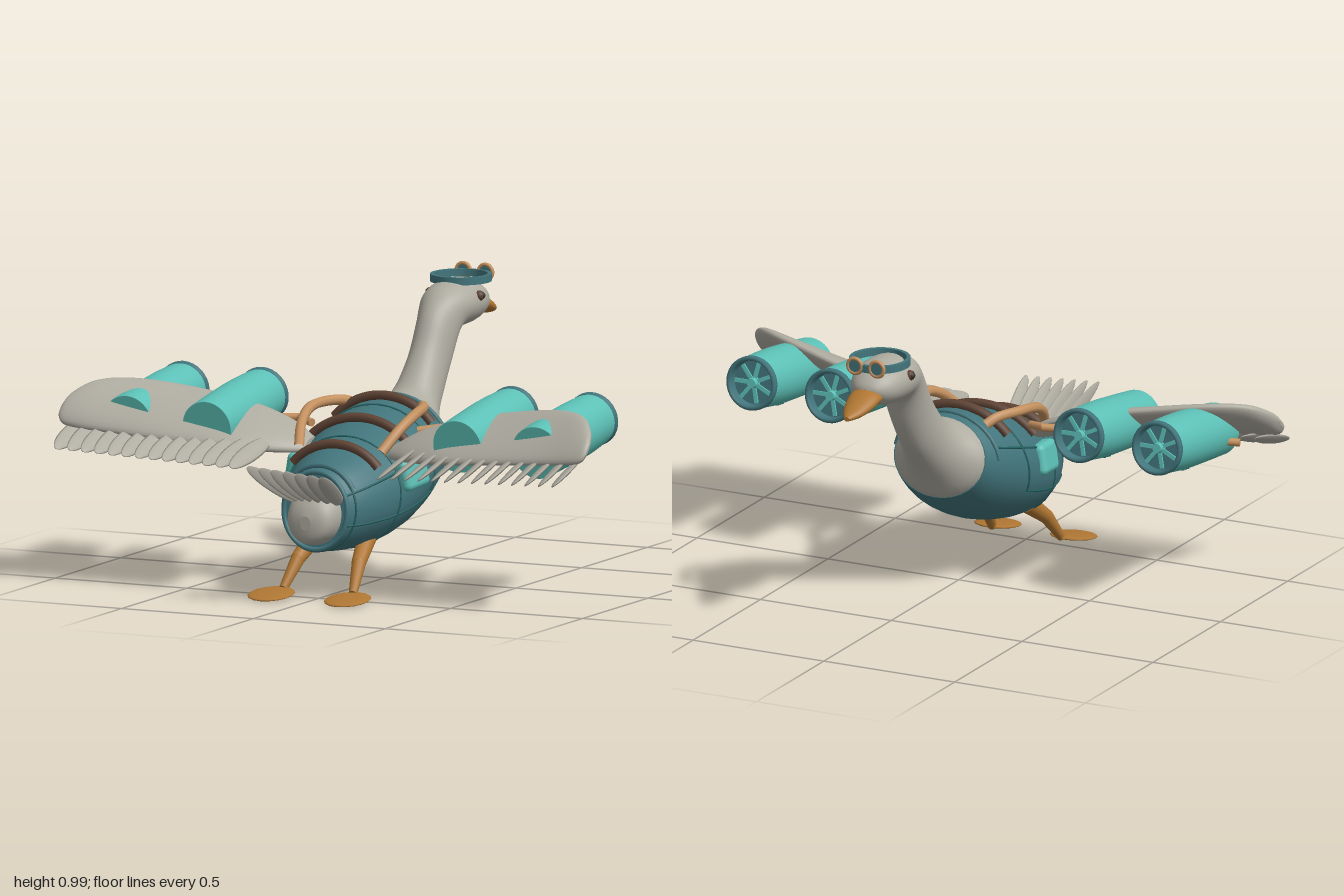
import * as THREE from 'three';
import { RoundedBoxGeometry } from 'three/addons/geometries/RoundedBoxGeometry.js';

const V = (x, y, z) => new THREE.Vector3(x, y, z);
const mat = (name, color) => Object.assign(new THREE.MeshStandardMaterial({ color }), { name });

// Smooth interpolation through rows of numbers, t in row units
function rowAt(keys, t) {
  const n = keys.length - 1, i = Math.min(Math.floor(t), n - 1), f = t - i;
  const [a, b, c, d] = [keys[Math.max(i - 1, 0)], keys[i], keys[i + 1], keys[Math.min(i + 2, n)]];
  return b.map((_, k) => b[k] + 0.5 * f * (c[k] - a[k]
    + f * (2 * a[k] - 5 * b[k] + 4 * c[k] - d[k] + f * (3 * (b[k] - c[k]) + d[k] - a[k]))));
}

// Skin over rings point(t, angle), closed with a flat cap at each end
function loft(point, tMax, nv, nu = 32) {
  const ring = t => Array.from({ length: nu }, (_, j) => point(t, j / nu * Math.PI * 2));
  const middle = r => { const c = r.reduce((s, p) => s.add(p), V(0, 0, 0)).divideScalar(nu); return r.map(() => c); };
  const rings = Array.from({ length: nv + 1 }, (_, i) => ring(i / nv * tMax));
  const rows = [middle(rings[0]), rings[0], ...rings, rings[nv], middle(rings[nv])];
  const index = [];
  for (let i = 0; i < rows.length - 1; i++) {
    if (i === 1 || i === rows.length - 3) continue;
    for (let j = 0; j < nu; j++) {
      const a = i * nu + j, b = i * nu + (j + 1) % nu;
      index.push(a, a + nu, b, b, a + nu, b + nu);
    }
  }
  const g = new THREE.BufferGeometry().setFromPoints(rows.flat());
  g.setIndex(index);
  g.computeVertexNormals();
  return g;
}

// Section rows: top z, top y, bottom z, bottom y, half width
const ovalPoint = (keys, off = 0) => (t, a) => {
  const [zt, yt, zb, yb, w] = rowAt(keys, t), s = Math.sin(a);
  const h = Math.hypot(zt - zb, yt - yb) / 2, k = s * (1 + off / h);
  return V(Math.cos(a) * (w + off), (yt + yb) / 2 + k * (yt - yb) / 2, (zt + zb) / 2 + k * (zt - zb) / 2);
};

export function createModel() {
  const root = new THREE.Group();
  root.name = 'flyingGoose';
  const M = {
    plumage: mat('plumage grey', 0xaeaba0), suit: mat('suit teal', 0x42757c),
    shell: mat('engine turquoise', 0x5cc0b6), strap: mat('strap brown', 0x5e4334),
    hose: mat('hose tan', 0xc4915f), beak: mat('beak orange', 0xb07733),
    seam: mat('seam green', 0x22605f), dark: mat('dark', 0x38302b),
  };
  const add = (name, geo, m, parent = root) => {
    const mesh = new THREE.Mesh(geo, m);
    mesh.name = name;
    parent.add(mesh);
    return mesh;
  };
  const tube = (name, pts, r, m, closed = false) =>
    add(name, new THREE.TubeGeometry(new THREE.CatmullRomCurve3(pts, closed), 40, r, 8, closed), m);
  const ball = (name, p, r, m) => {
    const b = add(name, new THREE.SphereGeometry(r, 16, 12), m);
    b.position.copy(p);
    return b;
  };
  // Leaf shaped feather from a to b, twisted around its length
  const feather = (name, a, b, w, thick, twist) => {
    const g = new THREE.SphereGeometry(1, 10, 12);
    g.rotateX(Math.PI / 2);
    g.scale(w, thick, a.distanceTo(b) / 2);
    g.rotateZ(twist);
    const f = add(name, g, M.plumage);
    f.position.copy(a).add(b).multiplyScalar(0.5);
    f.lookAt(b);
  };
  const limb = (name, a, b, ra, rb, m) => {
    const g = new THREE.CylinderGeometry(rb, ra, a.distanceTo(b), 14);
    const c = add(name, g, m);
    c.position.copy(a).add(b).multiplyScalar(0.5);
    c.quaternion.setFromUnitVectors(V(0, 1, 0), b.clone().sub(a).normalize());
  };

  // Body suit, rump, neck with head, beak
  const suit = [[.515, .44, .535, .175, .12], [.44, .475, .46, .16, .165], [.3, .525, .33, .153, .21],
    [.15, .58, .2, .168, .235], [.02, .615, .06, .205, .225], [-.06, .625, -.07, .265, .205], [-.1, .615, -.18, .35, .175]];
  const rump = [[.605, .3, .605, .25, .02], [.59, .335, .598, .215, .06], [.56, .37, .575, .198, .085], [.49, .42, .52, .19, .105]];
  const neck = [[-.05, .612, -.13, .335, .18], [-.1, .615, -.185, .355, .17], [-.16, .625, -.235, .425, .115],
    [-.21, .67, -.285, .485, .085], [-.28, .765, -.36, .57, .07], [-.335, .86, -.425, .67, .07],
    [-.39, .915, -.462, .765, .08], [-.44, .942, -.49, .795, .092], [-.51, .96, -.53, .797, .1],
    [-.59, .957, -.585, .802, .098], [-.65, .935, -.64, .815, .08], [-.685, .905, -.675, .84, .05], [-.695, .885, -.69, .86, .02]];
  const beak = [[-.62, .885, -.62, .825, .045], [-.69, .885, -.69, .825, .056], [-.74, .868, -.74, .813, .05],
    [-.79, .845, -.79, .808, .034], [-.83, .826, -.83, .81, .01]];
  for (const [name, keys, m] of [['bodySuit', suit, M.suit], ['rump', rump, M.plumage],
    ['neckAndHead', neck, M.plumage], ['beak', beak, M.beak]])
    add(name, loft(ovalPoint(keys), keys.length - 1, (keys.length - 1) * 4), m);

  // Straps over the back and stitched seams
  const arc = (t, from, to, off) => Array.from({ length: 25 }, (_, i) =>
    ovalPoint(suit, off)(t, THREE.MathUtils.degToRad(from + (to - from) * i / 24)));
  for (const t of [4.2, 2.77, 1.57]) tube('backStrap', arc(t, 38, 142, .012), .017, M.strap);
  tube('rearStrap', arc(.5, 30, 150, .004), .01, M.suit);
  tube('collar', arc(5.2, 10, 170, .002), .008, M.suit);
  tube('rearHem', arc(0, 0, 345, 0), .009, M.suit, true);
  for (const t of [.5, 2.1]) tube('ringSeam', arc(t, 0, 345, 0), .004, M.seam, true);
  tube('shoulderSeam', arc(3.7, -20, 200, 0), .004, M.seam);
  for (const deg of [-20, 25, 155, 200])
    tube('longSeam', Array.from({ length: 15 }, (_, i) =>
      ovalPoint(suit)(i / 14 * (deg < 0 || deg > 180 ? 3.7 : 5.2), THREE.MathUtils.degToRad(deg))), .004, M.seam);

  // Tail fan, feathers turning from upright to flatter
  for (let i = 0; i < 7; i++) {
    const x = -.115 + i * .046;
    feather('tailFeather', V(x * .55, .33, .5), V(x, .49 - i * .003, .82), .027, .005, 1.45 - i * .1);
  }

  // Goggles pushed up on the head
  const band = new THREE.Shape().absellipse(0, 0, .104, .108, 0, Math.PI * 2);
  band.holes.push(new THREE.Path().absellipse(0, 0, .09, .094, 0, Math.PI * 2));
  const bandGeo = new THREE.ExtrudeGeometry(band, { depth: .026, bevelEnabled: false, curveSegments: 32 });
  bandGeo.rotateX(-Math.PI / 2);
  add('goggleBand', bandGeo, M.suit).position.set(0, .944, -.585);

  const wing = [[.16, .2, .5, .29, .47, .02], [.25, .178, .55, .36, .475, .03], [.4, .175, .6, .43, .485, .035],
    [.6, .195, .64, .46, .5, .035], [.8, .255, .668, .475, .515, .033], [.92, .325, .665, .485, .525, .03],
    [.98, .395, .63, .485, .535, .022], [1, .44, .595, .475, .56, .006]];
  const fanBlade = new THREE.BoxGeometry(.064, .006, .014);
  fanBlade.translate(.04, 0, 0);
  const nacelle = new THREE.LatheGeometry([[.089, .015], [.092, .03], [.097, .12], [.098, .2], [.095, .34], [.092, .438],
    [.091, .44], [.09, .44], [0, .44]].map(p => new THREE.Vector2(...p)), 32);
  const intake = new THREE.LatheGeometry([[0, .03], [.076, .03], [.077, .029], [.078, .002], [.081, -.006], [.09, -.006],
    [.094, 0], [.094, .014], [.088, .018]].map(p => new THREE.Vector2(...p)), 32);

  for (const s of [1, -1]) {
    const side = s > 0 ? 'left' : 'right';
    // Wing blade: rows of x, leading z y, trailing z y, half thickness
    add(side + 'Wing', loft((t, a) => {
      const [x, zl, yl, zt, yt, h] = rowAt(wing, t), c = Math.cos(a), d = -s * Math.sin(a) * h;
      const l = Math.hypot(zl - zt, yl - yt);
      return V(s * x, (yl + yt) / 2 + c * (yl - yt) / 2 + d * (zt - zl) / l,
        (zl + zt) / 2 + c * (zl - zt) / 2 + d * (yl - yt) / l);
    }, wing.length - 1, 35, 28), M.plumage);
    for (let i = 0; i < 14; i++) {
      const x = .275 + i * .051, k = i / 13;
      feather(side + 'WingFeather', V(s * x, .51 + k * .03, .32 + k * .06), V(s * (x + .005), .448 + k * .02, .612),
        .033, .009, s * .6);
    }

    // Two engines per wing
    for (const x of [.475, .775]) {
      const e = new THREE.Group();
      e.name = side + 'Engine';
      e.position.set(s * x, .6, -.037);
      e.rotation.x = Math.PI / 2 + .13;
      root.add(e);
      add('nacelle', nacelle, M.shell, e);
      add('intakeRim', intake, M.suit, e);
      for (let i = 0; i < 7; i++) {
        const b = add('fanBlade', fanBlade, M.shell, e);
        b.position.y = .02;
        b.rotation.y = i / 7 * Math.PI * 2;
      }
      add('fanHub', new THREE.CylinderGeometry(.02, .016, .03, 16), M.shell, e).position.y = .015;
      for (let i = 0; i < 3; i++)
        add('ventSlot', new THREE.BoxGeometry(.05, .009, .008), M.seam, e).position.set(0, .17 + i * .018, .095);
    }
    limb(side + 'EngineRod', V(s * .2, .545, .15), V(s * .27, .555, .113), .014, .014, M.hose);
    limb(side + 'EngineSpar', V(s * .26, .555, .112), V(s * .9, .53, .34), .014, .014, M.hose);

    // Hose along the back and hip plate
    tube(side + 'Hose', [V(s * .12, .585, -.04), V(s * .145, .605, 0), V(s * .185, .61, .08), V(s * .198, .6, .17),
      V(s * .185, .56, .26), V(s * .155, .49, .34)], .018, M.hose);
    const hip = add(side + 'HipPlate', new RoundedBoxGeometry(.06, .11, .14, 3, .022), M.shell);
    hip.position.set(s * .212, .41, .22);
    hip.rotation.set(.1, s * -.12, s * .2);

    // Leg and webbed foot
    const hipJoint = V(s * .095, .2, .32), knee = V(s * .115, .125, .425), ankle = V(s * .132, .03, .505);
    limb(side + 'Thigh', hipJoint, knee, .034, .025, M.beak);
    limb(side + 'Shin', knee, ankle, .025, .015, M.beak);
    ball(side + 'Knee', knee, .025, M.beak);
    const foot = ball(side + 'Foot', V(s * .145, .019, .572), 1, M.beak);
    foot.scale.set(.08, .01, .087);
    foot.rotation.x = .14;

    // Eye and goggle lens
    ball(side + 'Eye', V(s * .092, .905, -.54), .018, M.strap);
    ball(side + 'Pupil', V(s * .1, .906, -.542), .0125, M.dark);
    const rim = add(side + 'GoggleRim', new THREE.TorusGeometry(.026, .007, 10, 24), M.hose);
    rim.position.set(s * .042, .962, -.688);
    const lens = add(side + 'GoggleLens', new THREE.CylinderGeometry(.025, .025, .009, 24), M.suit);
    lens.position.copy(rim.position);
    lens.rotation.x = Math.PI / 2;
  }
  return root;
}
